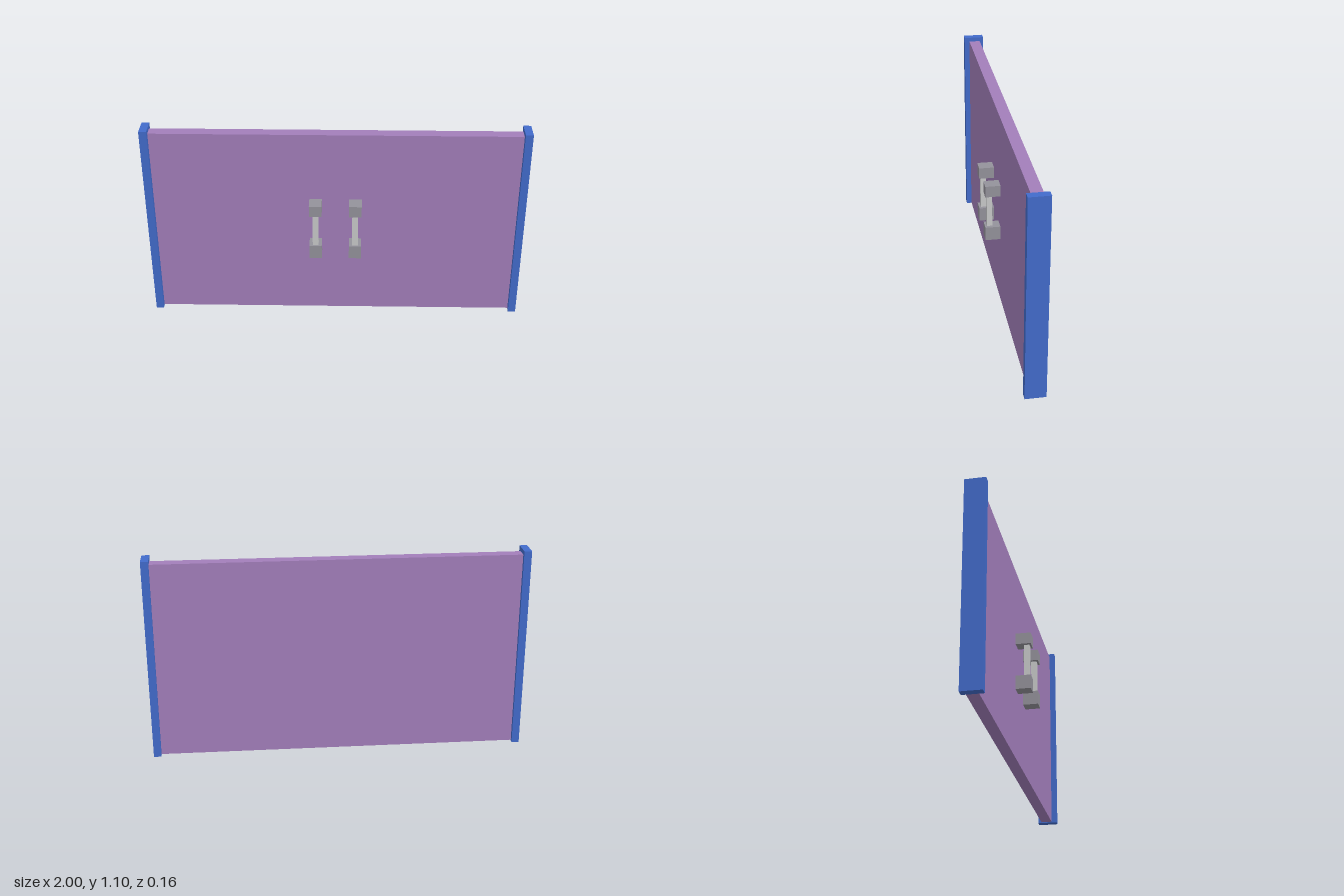
import * as THREE from 'three';

export function createModel() {
  const model = new THREE.Group();
  model.name = 'doubleDoor';

  const material = (name, color) => {
    const m = new THREE.MeshStandardMaterial({ color });
    m.name = name;
    return m;
  };
  const purple = material('purple panel', 0xa27eba);
  const blue = material('blue frame', 0x426bcb);
  const grey = material('grey mount', 0x94929b);
  const silver = material('silver bar', 0xc8c9ca);

  // Box given by its extents on each axis
  const box = (parent, name, mat, [x0, x1], [y0, y1], [z0, z1]) => {
    const mesh = new THREE.Mesh(new THREE.BoxGeometry(x1 - x0, y1 - y0, z1 - z0), mat);
    mesh.position.set((x0 + x1) / 2, (y0 + y1) / 2, (z0 + z1) / 2);
    mesh.name = name;
    parent.add(mesh);
  };

  for (const [side, s] of [['left', 1], ['right', -1]]) {
    const span = (a, b) => (s > 0 ? [a, b] : [-b, -a]);

    // Side post and door leaf
    box(model, side + 'Post', blue, span(0.96, 1), [0, 1.103], [-0.08, 0.028]);
    box(model, side + 'Door', purple, span(0, 0.96), [0.005, 1.08], [-0.06, 0]);

    // Pull handle: a bar held between two square mounts
    const handle = new THREE.Group();
    handle.name = side + 'Handle';
    box(handle, 'upperMount', grey, span(0.072, 0.138), [0.64, 0.702], [0, 0.08]);
    box(handle, 'lowerMount', grey, span(0.072, 0.138), [0.382, 0.458], [0, 0.08]);
    box(handle, 'bar', silver, span(0.089, 0.12), [0.458, 0.64], [0.041, 0.07]);
    model.add(handle);
  }

  return model;
}
